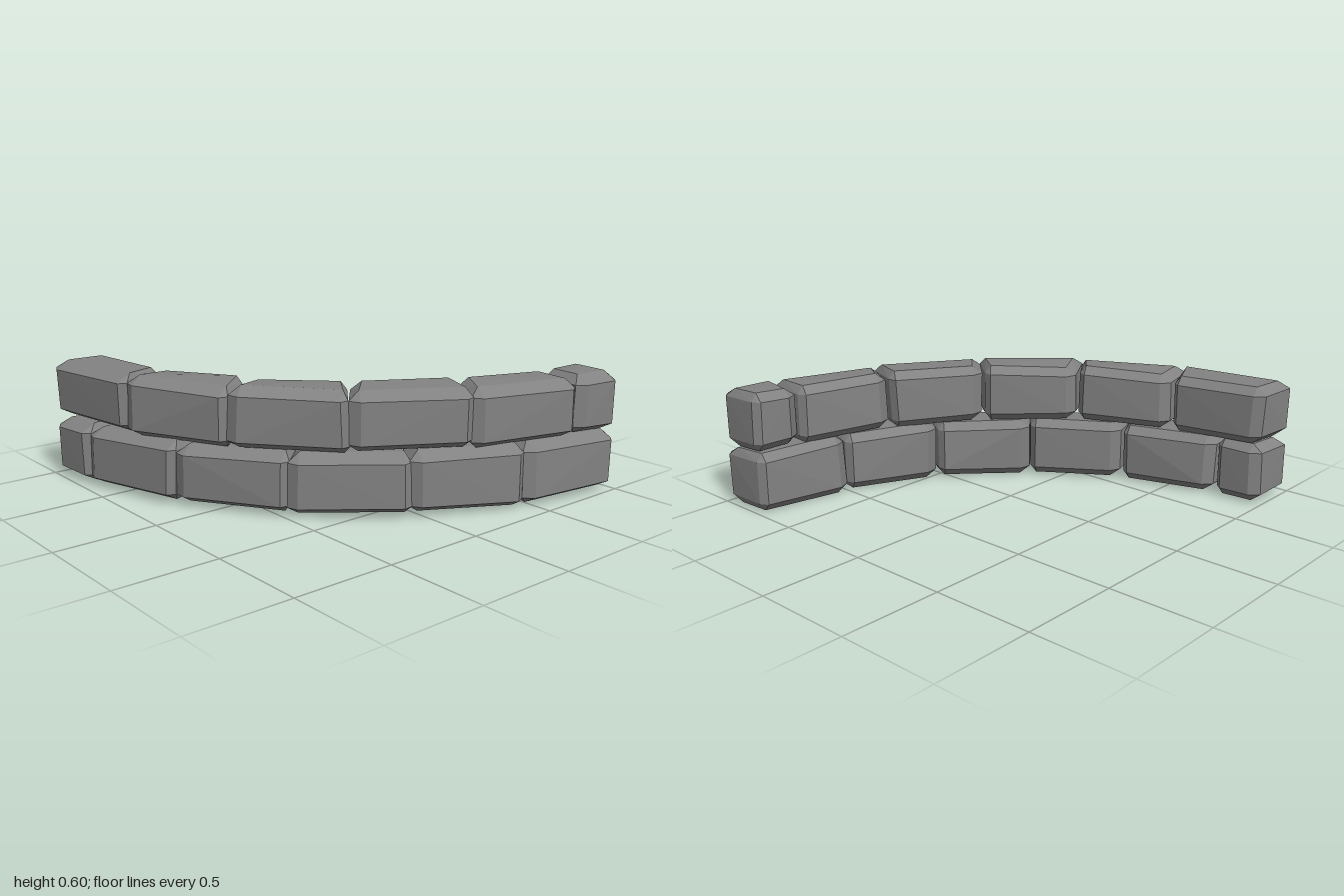
import * as THREE from 'three';
import { ConvexGeometry } from 'three/addons/geometries/ConvexGeometry.js';

const stone = new THREE.MeshStandardMaterial({ color: 0x828282 });
stone.name = 'grey stone';

// The wall bends a quarter turn around this point, angle 0 pointing to +z
const CENTRE = { x: -1.0, z: -0.985 };
const PITCH = Math.PI / 2 / 5.5;

// Small seeded generator for the hewn irregularity of the blocks
let seed = 11;
function jitter(amount) {
  seed = (seed * 16807) % 2147483647;
  return (seed / 2147483647 * 2 - 1) * amount;
}

// Wedge-shaped block with uneven chamfers: u runs along the wall, v outward
function blockGeometry(angle, inner, outer, bottom, top) {
  const mid = (inner + outer) / 2, halfV = (outer - inner) / 2;
  const halfY = (top - bottom) / 2, tan = Math.tan(angle / 2);
  const points = [];
  for (const su of [-1, 1]) for (const sy of [-1, 1]) for (const sv of [-1, 1]) {
    // Exact corner of the block, slightly displaced
    const u = su * ((mid + sv * halfV) * tan - 0.003) + jitter(0.007);
    const y = sy * halfY + jitter(0.007);
    const v = sv * halfV + jitter(0.007);
    // Chamfer sizes: wider at the start of a block and along its outer edge
    const cu = su < 0 ? 0.052 : 0.03;
    const cy = 0.04;
    const cvFlat = sv > 0 ? 0.075 : 0.04;
    const cvEnd = 0.035;
    points.push(
      new THREE.Vector3(u, y - sy * cy, v - sv * cvEnd),             // end face
      new THREE.Vector3(u - su * cu, y, v - sv * cvFlat),            // top or bottom face
      new THREE.Vector3(u - su * cu, y - sy * cy, v)                 // inner or outer face
    );
  }
  return new ConvexGeometry(points);
}

function course(name, widths, bottom, top) {
  const row = new THREE.Group();
  row.name = name;
  let start = 0;
  widths.forEach((width, i) => {
    const angle = width * PITCH, a = start + angle / 2;
    const shift = width < 1 ? 0.02 : 0;
    const inner = 1.68 + shift, outer = 1.958 + shift, r = (inner + outer) / 2;
    const block = new THREE.Mesh(blockGeometry(angle, inner, outer, bottom, top), stone);
    block.name = width < 1 ? 'halfBlock' : `block${i + 1}`;
    block.position.set(CENTRE.x + r * Math.sin(a), (bottom + top) / 2, CENTRE.z + r * Math.cos(a));
    block.rotation.y = a;
    row.add(block);
    start += angle;
  });
  return row;
}

export function createModel() {
  seed = 11;
  const wall = new THREE.Group();
  wall.name = 'curvedStoneWall';
  // Two courses with staggered joints
  wall.add(course('lowerCourse', [0.5, 1, 1, 1, 1, 1], 0.008, 0.302));
  wall.add(course('upperCourse', [1, 1, 1, 1, 1, 0.5], 0.306, 0.592));

  // Centre the wall and stand it on the ground
  const box = new THREE.Box3().setFromObject(wall, true);
  const c = box.getCenter(new THREE.Vector3());
  for (const row of wall.children) row.position.set(-c.x, -box.min.y, -c.z);
  return wall;
}
